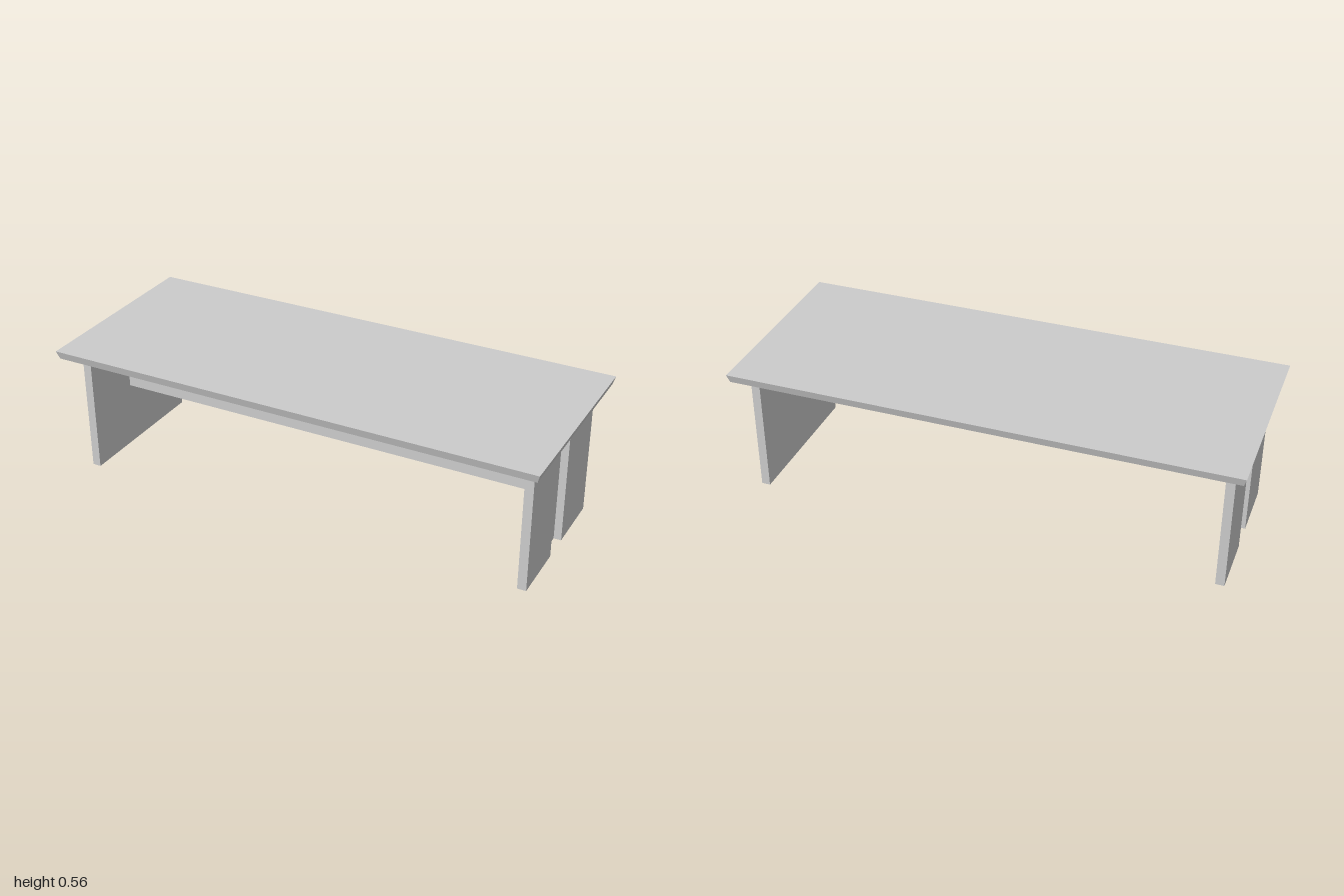
import * as THREE from 'three';

const material = new THREE.MeshStandardMaterial({ color: 0xcccccc, flatShading: true, side: THREE.DoubleSide });

// Box given by its lower and upper limits on each axis
function block(name, [x0, x1], [y0, y1], [z0, z1]) {
  const mesh = new THREE.Mesh(new THREE.BoxGeometry(x1 - x0, y1 - y0, z1 - z0), material);
  mesh.position.set((x0 + x1) / 2, (y0 + y1) / 2, (z0 + z1) / 2);
  mesh.name = name;
  return mesh;
}

// Table top whose sides slope inward toward the underside
function makeTop() {
  const top = block('tableTop', [-1, 1], [0.524, 0.557], [-0.402, 0.402]);
  const p = top.geometry.attributes.position;
  for (let i = 0; i < p.count; i++) {
    if (p.getY(i) < 0) {
      p.setX(i, p.getX(i) - 0.01 * Math.sign(p.getX(i)));
      p.setZ(i, p.getZ(i) - 0.01 * Math.sign(p.getZ(i)));
    }
  }
  top.geometry.computeVertexNormals();
  return top;
}

// Slab leg with a vertical groove down its outer face
function makeLeg(side) {
  const outline = [
    [0.915, 0.303], [0.95, 0.303], [0.95, 0.057], [0.92, 0.057],
    [0.92, -0.06], [0.95, -0.06], [0.95, -0.31], [0.915, -0.31],
  ].map(([x, z]) => new THREE.Vector2(side * x, -z));
  const geometry = new THREE.ExtrudeGeometry(new THREE.Shape(outline), { depth: 0.52, bevelEnabled: false });
  geometry.rotateX(-Math.PI / 2);
  const leg = new THREE.Mesh(geometry, material);
  leg.name = side > 0 ? 'leftLeg' : 'rightLeg';
  leg.position.y = 0.005;
  return leg;
}

export function createModel() {
  const group = new THREE.Group();
  group.name = 'desk';
  const body = new THREE.Group();
  body.name = 'deskBody';
  body.add(makeTop(), makeLeg(1), makeLeg(-1));

  // Panel between the legs, its ends showing in the grooves
  body.add(block('modestyPanel', [-0.93, 0.93], [0.265, 0.525], [0.043, 0.057]));

  // The desk leans very slightly to one side
  body.rotation.z = 0.0045;
  group.add(body);
  return group;
}
